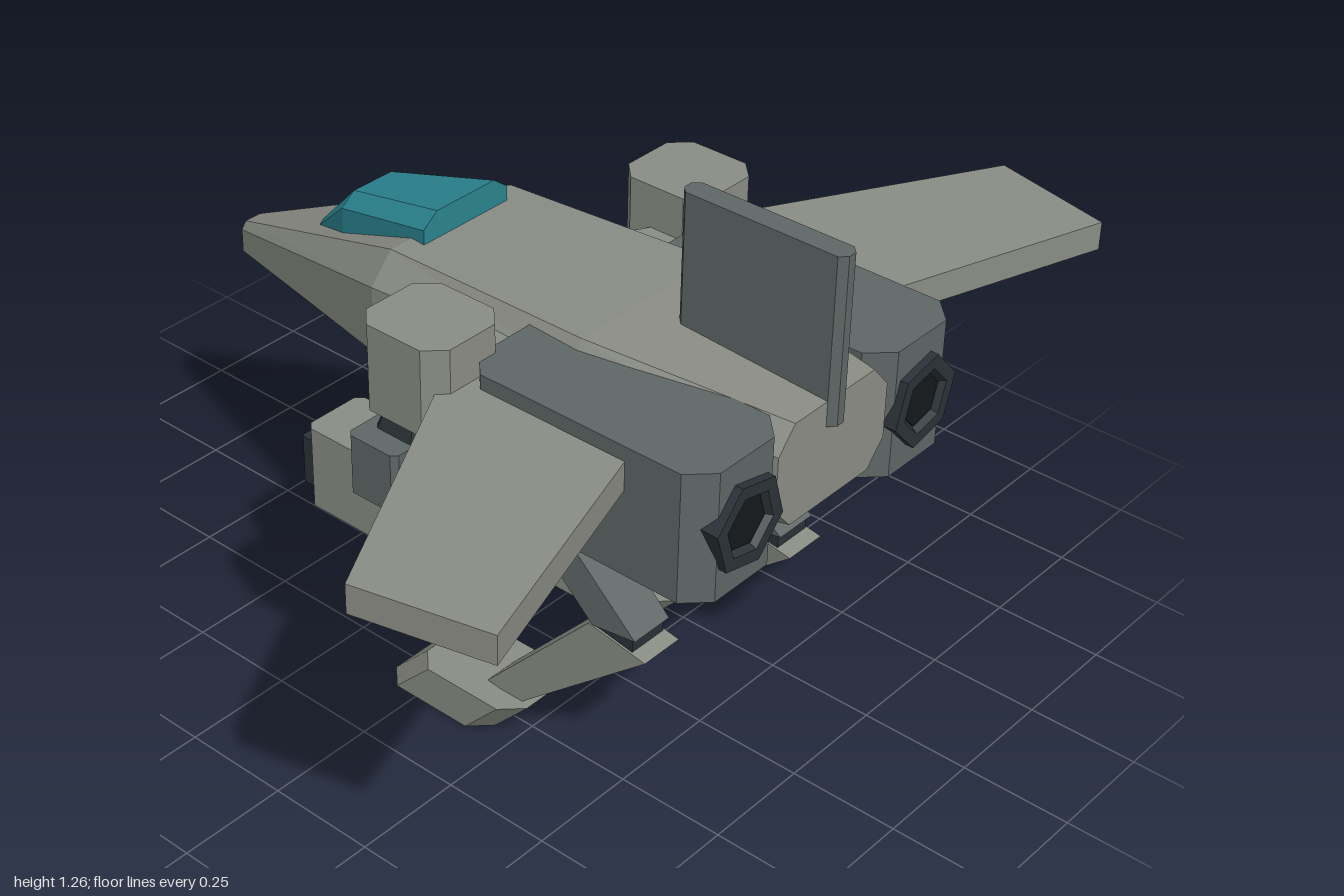
import * as THREE from 'three';

const mat = (color) => new THREE.MeshStandardMaterial({ color, flatShading: true });
const HULL = mat(0x8a8d84), STEEL = mat(0x5f6766), DARK = mat(0x2b3238), BLACK = mat(0x14181b), GLASS = mat(0x2b8490);

// Skin a list of rings (equal point counts) into a closed faceted solid
function loft(rings) {
  const tris = [], n = rings[0].length, last = rings.length - 1;
  for (let r = 0; r < last; r++) {
    for (let i = 0; i < n; i++) {
      const j = (i + 1) % n, a = rings[r], b = rings[r + 1];
      tris.push([a[i], a[j], b[j]], [a[i], b[j], b[i]]);
    }
  }
  for (let i = 1; i < n - 1; i++) {
    tris.push([rings[0][0], rings[0][i + 1], rings[0][i]]);
    tris.push([rings[last][0], rings[last][i], rings[last][i + 1]]);
  }
  // Signed volume decides which way the faces must turn
  let volume = 0;
  const A = new THREE.Vector3(), B = new THREE.Vector3(), C = new THREE.Vector3();
  for (const [a, b, c] of tris) volume += A.set(...a).dot(B.set(...b).cross(C.set(...c)));
  const pos = tris.flatMap(([a, b, c]) => (volume < 0 ? [a, c, b] : [a, b, c])).flat();
  const geo = new THREE.BufferGeometry();
  geo.setAttribute('position', new THREE.Float32BufferAttribute(pos, 3));
  geo.computeVertexNormals();
  return geo;
}

// Rectangle with cut corners, in two dimensions
function cutRect(u0, u1, v0, v1, cu, cv = cu) {
  return [[u0 + cu, v0], [u1 - cu, v0], [u1, v0 + cv], [u1, v1 - cv],
    [u1 - cu, v1], [u0 + cu, v1], [u0, v1 - cv], [u0, v0 + cv]];
}
const plan = (y, x0, x1, z0, z1, c) => cutRect(x0, x1, z0, z1, c).map(([x, z]) => [x, y, z]);
const block = (x0, x1, y0, y1, z0, z1, c) => loft([plan(y0, x0, x1, z0, z1, c), plan(y1, x0, x1, z0, z1, c)]);

// Four-sided limb section: x range, then back and front z/y
const limb = (x0, x1, zb, yb, zf, yf) => [[x0, yb, zb], [x1, yb, zb], [x1, yf, zf], [x0, yf, zf]];

// Rotated hexagon for the nozzles
const hexRing = (r, z) => Array.from({ length: 6 }, (_, i) => {
  const a = i * Math.PI / 3 + 0.22;
  return [0.275 + r * Math.cos(a), 0.81 + r * Math.sin(a), z];
});

export function createModel() {
  const model = new THREE.Group();
  const add = (parent, name, geo, material) => {
    const mesh = new THREE.Mesh(geo, material);
    mesh.name = name;
    parent.add(mesh);
  };

  // Fuselage: z, half width, half top width, bottom, lower edge, upper edge, top
  const hull = [
    [-0.815, 0.035, 0.022, 0.63, 0.645, 0.70, 0.717],
    [-0.2, 0.238, 0.18, 0.665, 0.735, 0.89, 0.955],
    [0.33, 0.238, 0.2, 0.67, 0.75, 0.92, 0.975],
    [0.785, 0.17, 0.123, 0.716, 0.77, 0.893, 0.947],
  ].map(([z, w, t, b, lo, hi, top]) => [[-t, b, z], [t, b, z], [w, lo, z], [w, hi, z],
    [t, top, z], [-t, top, z], [-w, hi, z], [-w, lo, z]]);
  add(model, 'fuselage', loft(hull), HULL);

  // Canopy: z, base half width, ridge half width, base, shoulder, ridge
  const glass = [
    [-0.55, 0.045, 0.035, 0.79, 0.82, 0.83],
    [-0.43, 0.092, 0.055, 0.84, 0.925, 0.953],
    [-0.16, 0.125, 0.085, 0.93, 0.99, 1.02],
  ].map(([z, w, t, b, s, top]) => [[-w, b, z], [w, b, z], [w, s, z], [t, top, z], [-t, top, z], [-w, s, z]]);
  add(model, 'canopy', loft(glass), GLASS);

  add(model, 'tailFin', block(-0.025, 0.025, 0.89, 1.26, 0.415, 0.8, 0.015), STEEL);
  add(model, 'bellyBlock', block(-0.165, 0.165, 0.585, 0.72, -0.08, 0.215, 0.01), DARK);

  for (const [label, s] of [['left', 1], ['right', -1]]) {
    const side = new THREE.Group();
    side.name = label + 'Side';
    const put = (name, geo, material) => {
      if (s < 0) { // mirror the shape and turn its faces back out
        const p = geo.attributes.position;
        for (let i = 0; i < p.count; i += 3) {
          const v = [0, 2, 1].map((k) => [-p.getX(i + k), p.getY(i + k), p.getZ(i + k)]);
          v.forEach((q, k) => p.setXYZ(i + k, ...q));
        }
        geo.computeVertexNormals();
      }
      add(side, name, geo, material);
    };

    // Engine with hollow hexagonal nozzle
    put('engine', block(0.143, 0.4, 0.665, 0.955, 0.2, 0.79, 0.05), STEEL);
    put('nozzle', loft([hexRing(0.1, 0.75), hexRing(0.1, 0.808), hexRing(0.07, 0.808), hexRing(0.06, 0.793)]), DARK);
    put('nozzleCore', loft([hexRing(0.058, 0.78), hexRing(0.058, 0.796)]), BLACK);

    // Swept wing
    const wing = (y) => [[0.22, y, 0.06], [1, y, 0.49], [0.93, y, 0.78], [0.22, y, 0.55]];
    put('wing', loft([wing(0.857), wing(0.922)]), HULL);

    // Shoulder pod, joint and gun
    put('shoulderPod', block(0.285, 0.49, 0.825, 1.02, 0, 0.22, 0.04), HULL);
    put('shoulderJoint', loft([plan(0.775, 0.29, 0.485, 0.04, 0.155, 0.01), plan(0.83, 0.31, 0.47, 0.055, 0.145, 0.01)]), DARK);
    put('gunArm', block(0.25, 0.535, 0.65, 0.785, 0.02, 0.15, 0.012), STEEL);
    put('gunBody', block(0.38, 0.53, 0.56, 0.745, -0.1, 0.135, 0.015), HULL);
    put('gunMuzzle', block(0.39, 0.523, 0.6, 0.71, -0.12, -0.08, 0.003), DARK);
    put('innerPod', block(0.2, 0.35, 0.67, 0.745, -0.1, 0.08, 0.028), HULL);

    // Backward-bent leg
    put('thigh', loft([limb(0.15, 0.27, 0.21, 0.69, 0.1, 0.68), limb(0.18, 0.285, 0.55, 0.405, 0.44, 0.39)]), STEEL);
    put('knee', loft([limb(0.185, 0.28, 0.54, 0.41, 0.44, 0.4), limb(0.185, 0.28, 0.54, 0.36, 0.44, 0.375)]), DARK);
    put('shin', loft([limb(0.18, 0.285, 0.577, 0.365, 0.43, 0.39), limb(0.205, 0.29, 0.25, 0.09, 0.16, 0.1)]), HULL);
    put('foot', loft([plan(0, 0.145, 0.345, -0.1, 0.19, 0.045), plan(0.096, 0.145, 0.345, -0.005, 0.28, 0.045)]), HULL);
    model.add(side);
  }
  return model;
}
